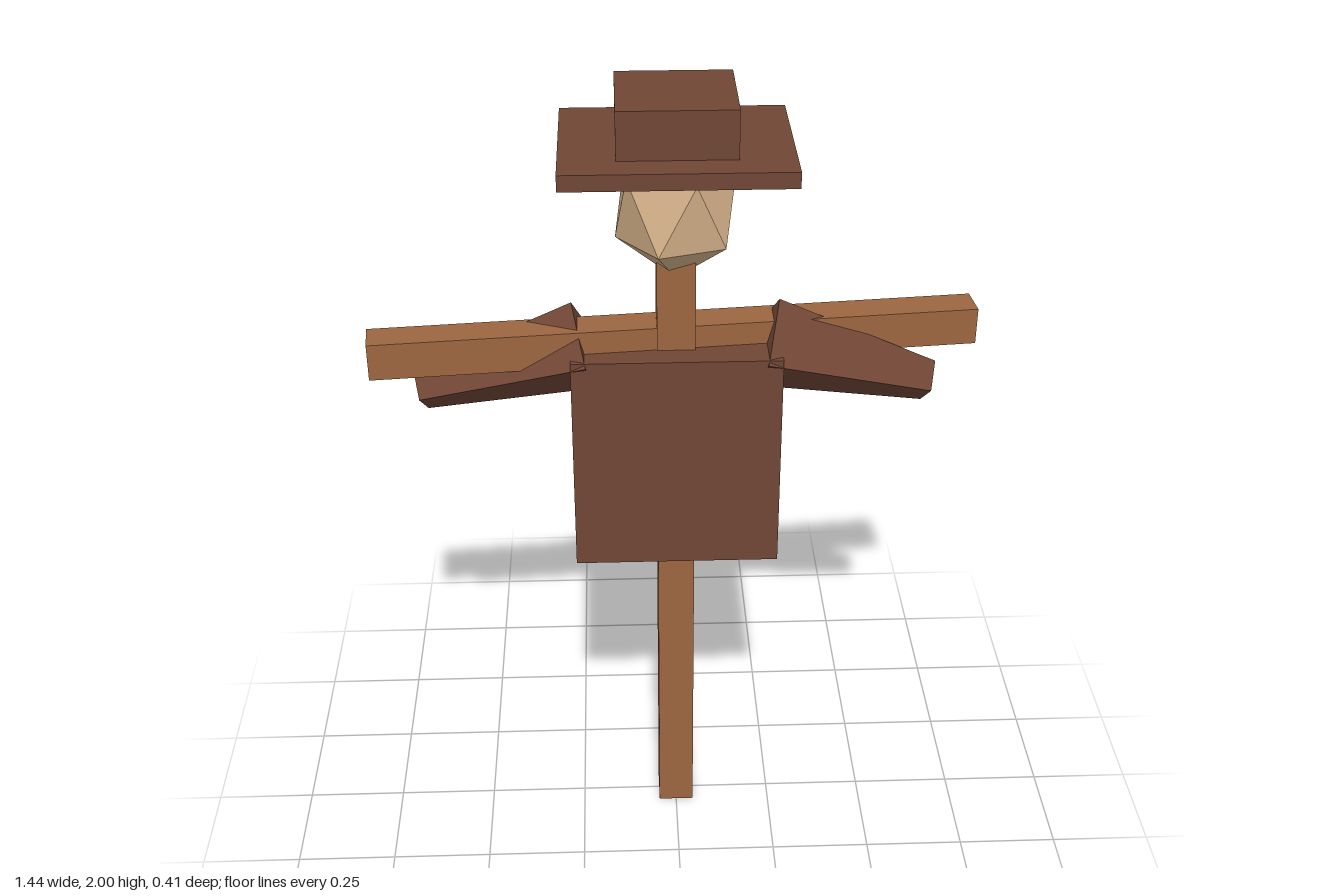
import * as THREE from 'three';
import { ConvexGeometry } from 'three/addons/geometries/ConvexGeometry.js';

function material(name, color) {
  const m = new THREE.MeshStandardMaterial({ color });
  m.name = name;
  return m;
}

export function createModel() {
  const group = new THREE.Group();
  const wood = material('wood', 0x9c6640);
  const cloth = material('brown cloth', 0x704635);
  const sack = material('sackcloth', 0xd8b48c);

  const add = (name, geometry, mat, x, y, z) => {
    const mesh = new THREE.Mesh(geometry, mat);
    mesh.name = name;
    mesh.position.set(x, y, z);
    group.add(mesh);
    return mesh;
  };
  // Box given by its bottom and top heights
  const block = (name, mat, w, y0, y1, d, z = 0) =>
    add(name, new THREE.BoxGeometry(w, y1 - y0, d), mat, 0, (y0 + y1) / 2, z);

  // Wooden frame, with the crossbar set slightly askew
  block('post', wood, 0.09, 0, 1.66, 0.1);
  block('crossbar', wood, 1.436, 1.353, 1.443, 0.085).rotation.y = 0.093;

  // Coat body, hanging forward of the post
  block('coat', cloth, 0.495, 0.832, 1.387, 0.153, 0.035);

  // Four-sided tapering sleeves
  const inner = new THREE.Vector2(0.212, 1.377);
  const outer = new THREE.Vector2(0.607, 1.268);
  const drop = Math.atan2(inner.y - outer.y, outer.x - inner.x);
  const sleeve = new THREE.CylinderGeometry(0.054, 0.118, inner.distanceTo(outer), 4).toNonIndexed();
  sleeve.computeVertexNormals();
  for (const side of [1, -1]) {
    const mesh = add(side > 0 ? 'leftSleeve' : 'rightSleeve', sleeve, cloth,
      side * (inner.x + outer.x) / 2, (inner.y + outer.y) / 2, 0);
    mesh.rotation.z = -side * (Math.PI / 2 + drop);
  }

  // Faceted head: two staggered rings of five between two poles
  const points = [new THREE.Vector3(0, 0.19, 0), new THREE.Vector3(0, -0.19, 0)];
  for (let i = 0; i < 5; i++) {
    const a = (i * Math.PI * 2) / 5;
    const x = Math.cos(a) * 0.138, z = Math.sin(a) * 0.132;
    points.push(new THREE.Vector3(x, 0.085, z), new THREE.Vector3(-x, -0.085, z));
  }
  add('head', new ConvexGeometry(points), sack, 0, 1.74, 0);

  // Square hat
  block('hatBrim', cloth, 0.522, 1.85, 1.888, 0.407);
  block('hatCrown', cloth, 0.268, 1.888, 2, 0.257);

  return group;
}
